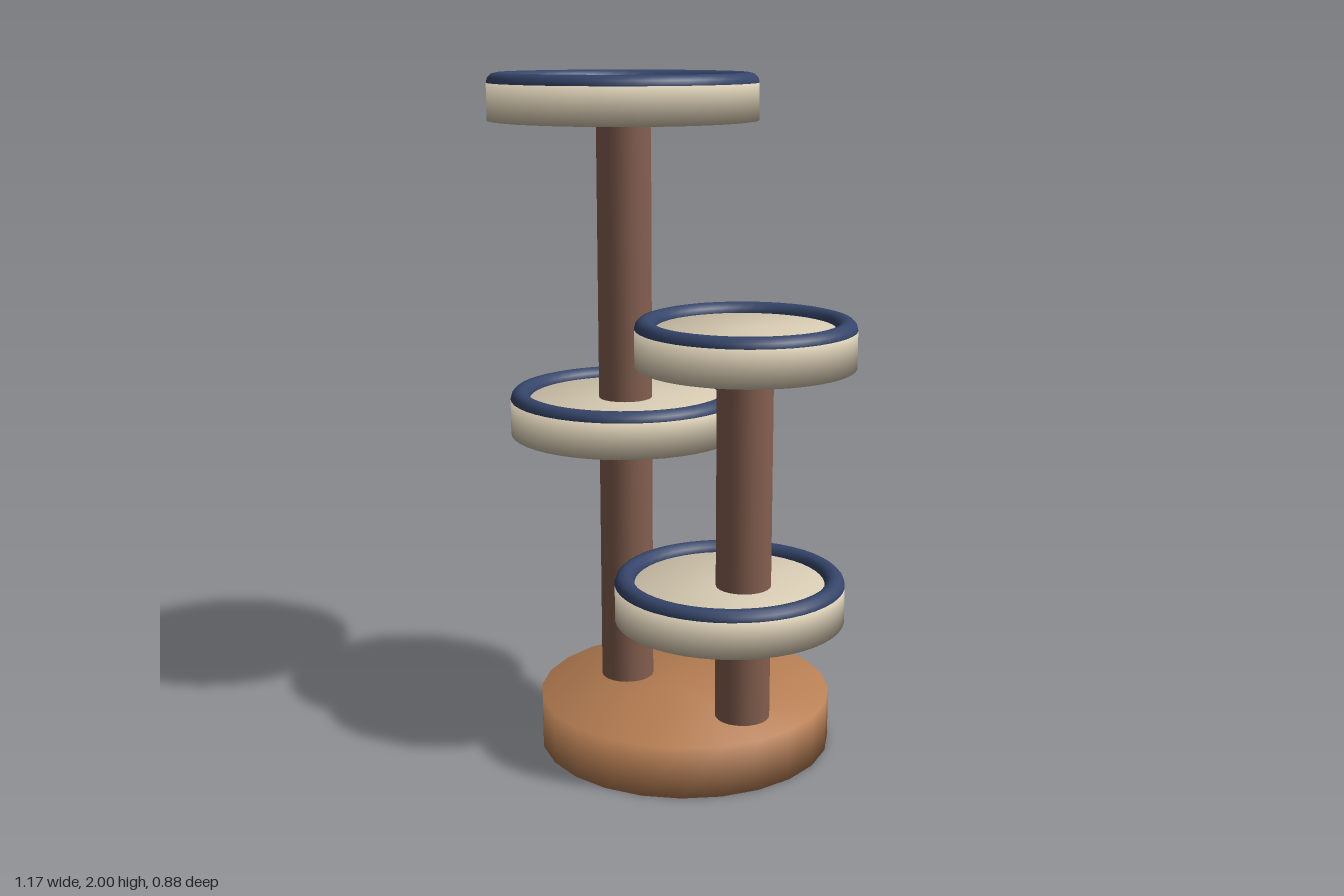
import * as THREE from 'three';
import { mergeVertices } from 'three/addons/utils/BufferGeometryUtils.js';

const mat = (name, color) => Object.assign(new THREE.MeshStandardMaterial({ color }), { name });

// Cylinder from y0 to y1 with its normals smoothed over the edges
function softCylinder(r, y0, y1, sides) {
  let g = new THREE.CylinderGeometry(r, r, y1 - y0, sides);
  g.deleteAttribute('uv');
  g.deleteAttribute('normal');
  g = mergeVertices(g);
  g.computeVertexNormals();
  return g.translate(0, (y0 + y1) / 2, 0);
}

export function createModel() {
  const group = new THREE.Group();
  const wood = mat('base wood', 0xb87f54);
  const bark = mat('post brown', 0x845f4f);
  const cream = mat('cream fabric', 0xd8ccb3);
  const navy = mat('navy trim', 0x35456a);

  const add = (parent, name, geometry, material, x = 0, y = 0, z = 0) => {
    const mesh = new THREE.Mesh(geometry, material);
    mesh.name = name;
    mesh.position.set(x, y, z);
    parent.add(mesh);
  };

  // Round foot
  add(group, 'base', softCylinder(0.44, 0, 0.155, 24), wood, 0.015);

  // Two upright posts
  add(group, 'tallPost', softCylinder(0.08, 0.005, 1.88, 24), bark, -0.195, 0, 0);
  add(group, 'shortPost', softCylinder(0.08, 0.005, 1.22, 24), bark, 0.27, 0, 0.095);

  // Round perches: a padded disc with a rolled rim
  const tube = 0.029;
  const perches = [
    ['topPerch', -0.195, 1.865, 0, 0.393],
    ['upperPerch', 0.27, 1.205, 0.095, 0.311],
    ['middlePerch', -0.193, 0.938, 0, 0.347],
    ['lowerPerch', 0.222, 0.452, 0.092, 0.334],
  ];
  for (const [name, x, y, z, r] of perches) {
    const perch = new THREE.Group();
    perch.name = name;
    perch.position.set(x, y, z);
    add(perch, 'cushion', softCylinder(r, 0, 0.106, 48), cream);
    const rim = new THREE.TorusGeometry(r - tube, tube, 12, 48).rotateX(-Math.PI / 2);
    add(perch, 'rim', rim, navy, 0, 0.106, 0);
    group.add(perch);
  }
  return group;
}
